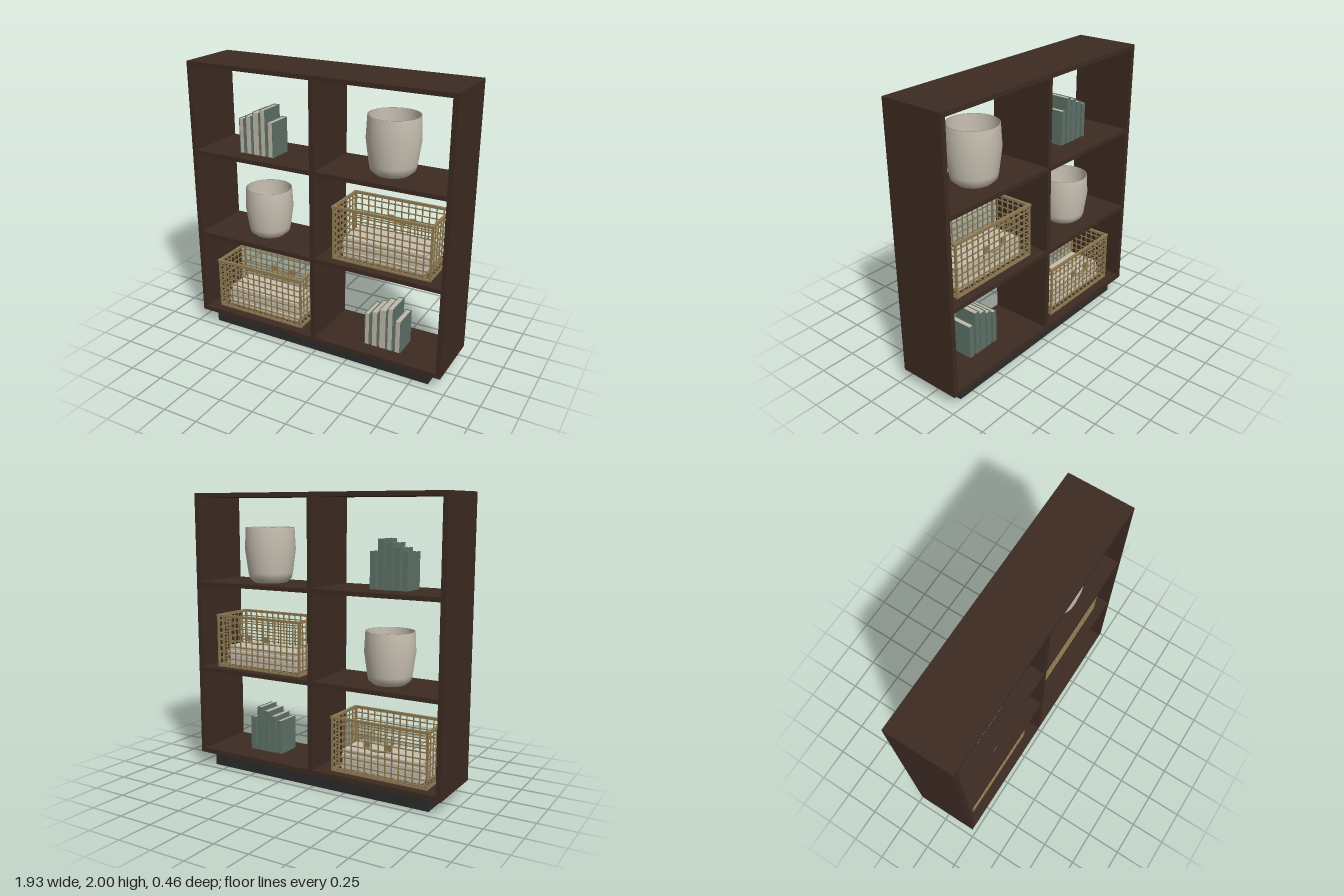
import * as THREE from 'three';
import { mergeGeometries } from 'three/addons/utils/BufferGeometryUtils.js';

const mat = (name, color, side = THREE.FrontSide) => {
  const m = new THREE.MeshStandardMaterial({ color, side });
  m.name = name;
  return m;
};

// Box given by its minimum and maximum corners
function span(x0, x1, y0, y1, z0, z1) {
  return new THREE.BoxGeometry(x1 - x0, y1 - y0, z1 - z0)
    .translate((x0 + x1) / 2, (y0 + y1) / 2, (z0 + z1) / 2);
}

function add(parent, name, geometry, material) {
  const mesh = new THREE.Mesh(geometry, material);
  mesh.name = name;
  parent.add(mesh);
  return mesh;
}

function group(parent, name, x, y, z) {
  const g = new THREE.Group();
  g.name = name;
  g.position.set(x, y, z);
  parent.add(g);
  return g;
}

export function createModel() {
  const root = new THREE.Group();
  root.name = 'shelfUnit';
  const wood = mat('dark wood', 0x3d2b22);
  const black = mat('plinth black', 0x2c2c2c);
  const clay = mat('pale clay', 0xc8bfb1, THREE.DoubleSide);
  const cover = mat('green cover', 0x5e7268);
  const paper = mat('paper', 0xc0b8a9);
  const brass = mat('brass', 0x8f7b52);
  const cloth = mat('folded cloth', 0xc6beaf);

  // Carcass
  const D = 0.232;
  add(root, 'plinth', span(-0.865, 0.865, 0, 0.097, -0.187, 0.187), black);
  add(root, 'bottomBoard', span(-0.963, 0.963, 0.097, 0.13, -D, D), wood);
  for (const s of [-1, 1]) {
    add(root, s < 0 ? 'rightSide' : 'leftSide',
      span(-0.017, 0.017, 0.13, 2, -D, D).translate(s * 0.946, 0, 0), wood);
  }
  add(root, 'topBoard', span(-0.929, 0.929, 1.97, 2, -D, D), wood);
  add(root, 'divider', span(-0.017, 0.017, 0.13, 1.97, -D + 0.002, D - 0.002), wood);
  for (const y of [0.722, 1.346]) {
    add(root, 'shelf', span(-0.929, 0.929, y, y + 0.03, -D, D), wood);
  }

  // Rows of upright books: left edge, right edge, height
  const books = [
    [-0.135, -0.098, 0.247], [-0.082, -0.037, 0.272], [-0.026, 0.027, 0.303],
    [0.035, 0.077, 0.328], [0.093, 0.135, 0.247],
  ];
  function bookRow(x, y) {
    const row = group(root, 'bookRow', x, y, 0.034);
    const t = 0.004, z = 0.093;
    for (const [a, b, h] of books) {
      add(row, 'bookPages', span(a + t, b - t, 0.002, h - 0.004, -z + t, z - 0.003), paper);
      add(row, 'bookCover', mergeGeometries([
        span(a, a + t, 0, h, -z, z),
        span(b - t, b, 0, h, -z, z),
        span(a + t, b - t, 0, h, -z, -z + t),
      ]), cover);
    }
  }
  bookRow(-0.493, 1.376);
  bookRow(0.492, 0.13);

  // Thin-walled open pots
  const profile = [
    [0, 0], [0.115, 0], [0.15, 0.032], [0.158, 0.07], [0.18, 0.235], [0.172, 0.388],
    [0.164, 0.388], [0.172, 0.235], [0.15, 0.07], [0.142, 0.035], [0, 0.03],
  ].map(([r, y]) => new THREE.Vector2(r, y));
  function pot(x, y, s, h) {
    const p = add(root, 'pot', new THREE.LatheGeometry(profile, 40), clay);
    p.position.set(x, y, 0);
    p.scale.set(s, h, s);
  }
  pot(0.474, 1.376, 1, 1);
  pot(-0.484, 0.752, 0.955, 0.91);

  // Wire baskets with folded cloth inside
  function basket(x, y) {
    const b = group(root, 'basket', x, y, 0);
    const X = 0.35, Z = 0.163, H = 0.372, w = 0.0035;
    const wires = [];
    const columns = 14, depthCells = 7, rows = 8;
    for (let i = 1; i < columns; i++) {
      const px = -X + (2 * X * i) / columns;
      for (const s of [-Z, Z]) wires.push(span(px - w, px + w, 0, H, s - w, s + w));
      wires.push(span(px - w, px + w, 0.002, 0.008, -Z, Z));
    }
    for (let i = 1; i < depthCells; i++) {
      const pz = -Z + (2 * Z * i) / depthCells;
      for (const s of [-X, X]) wires.push(span(s - w, s + w, 0, H, pz - w, pz + w));
      wires.push(span(-X, X, 0.004, 0.01, pz - w, pz + w));
    }
    for (let i = 0; i < rows; i++) {
      const py = 0.018 + i * 0.0458;
      for (const s of [-Z, Z]) wires.push(span(-X, X, py - w, py + w, s - w, s + w));
      for (const s of [-X, X]) wires.push(span(s - w, s + w, py - w, py + w, -Z, Z));
    }
    add(b, 'wireMesh', mergeGeometries(wires), brass);

    // Corner posts, rim and foot frame
    const frame = [];
    const r = 0.009;
    for (const s of [-1, 1]) {
      for (const t of [-1, 1]) {
        frame.push(span(-0.007, 0.007, 0, H, -0.007, 0.007).translate(s * X, 0, t * Z));
      }
      frame.push(span(-X - 0.013, X + 0.013, H - 0.004, H + 0.014, -r, r).translate(0, 0, s * Z));
      frame.push(span(-r, r, H - 0.004, H + 0.014, -Z, Z).translate(s * X, 0, 0));
      frame.push(span(-X, X, 0, 0.01, -0.005, 0.005).translate(0, 0, s * Z));
      frame.push(span(-0.005, 0.005, 0, 0.01, -Z, Z).translate(s * X, 0, 0));
    }
    add(b, 'basketFrame', mergeGeometries(frame), brass);

    // Sagging handle between two plates on the rear face
    for (const s of [-1, 1]) {
      add(b, 'handlePlate',
        span(-0.021, 0.021, 0.213, 0.255, -Z - 0.01, -Z + 0.004).translate(s * 0.082, 0, 0), brass);
    }
    const curve = new THREE.CatmullRomCurve3([
      [-0.082, 0.225, -Z - 0.008], [-0.045, 0.206, -Z - 0.02],
      [0.045, 0.206, -Z - 0.02], [0.082, 0.225, -Z - 0.008],
    ].map((p) => new THREE.Vector3(...p)));
    add(b, 'handle', new THREE.TubeGeometry(curve, 16, 0.005, 8), brass);

    // Folded cloth layers
    for (let i = 0; i < 4; i++) {
      const y0 = 0.018 + i * 0.035, e = i % 2 ? 0.006 : 0;
      add(b, 'foldedCloth', span(-0.298 + e, 0.298 - e, y0, y0 + 0.031, -0.125 + e, 0.125 - e), cloth);
    }
  }
  basket(-0.488, 0.13);
  basket(0.479, 0.752);

  return root;
}
